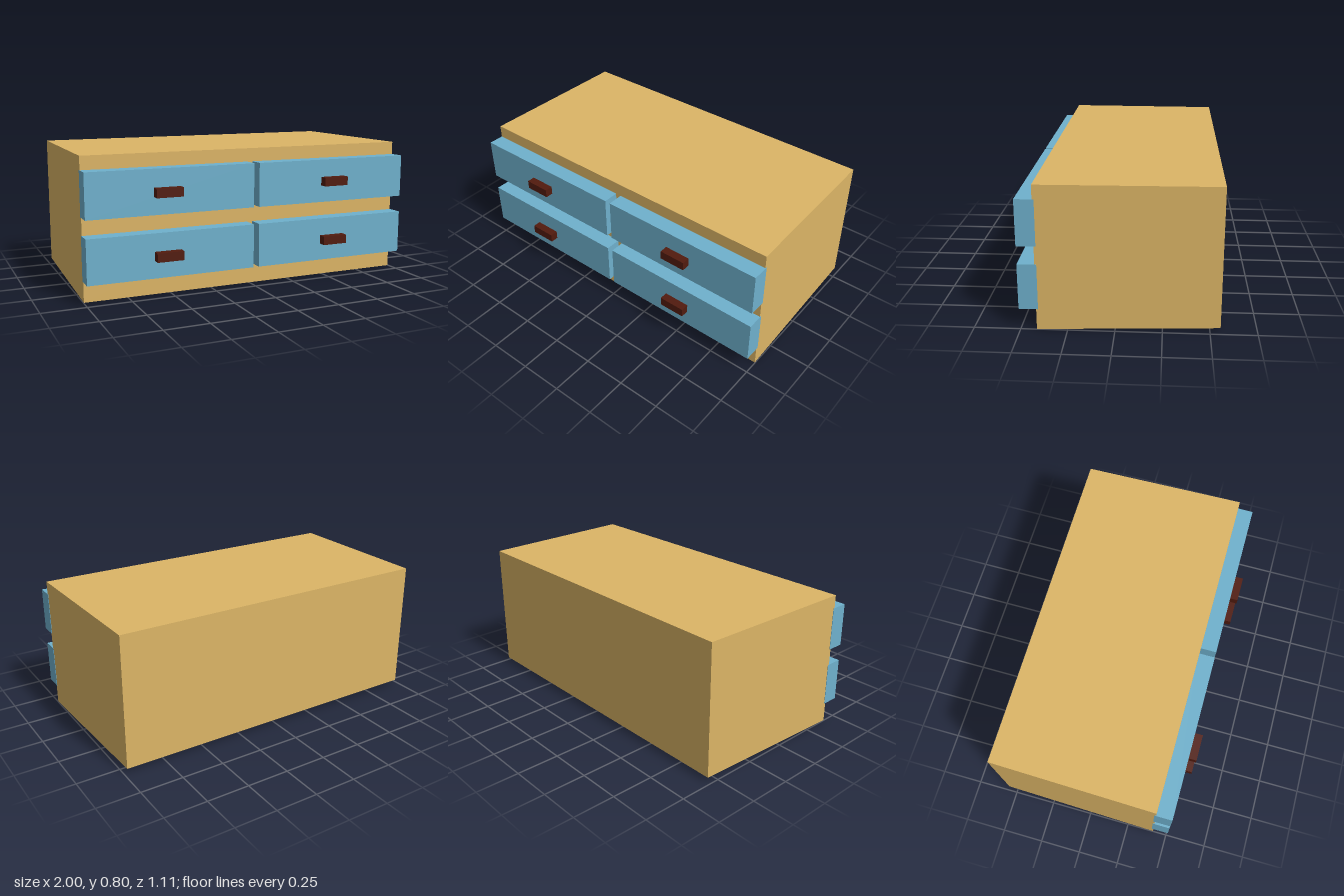
import * as THREE from 'three';

const mat = (color) => new THREE.MeshStandardMaterial({ color, flatShading: true });

// Box given by its limits on each axis
function box(name, [x0, x1], [y0, y1], [z0, z1], material) {
  const geometry = new THREE.BoxGeometry(x1 - x0, y1 - y0, z1 - z0);
  geometry.translate((x0 + x1) / 2, (y0 + y1) / 2, (z0 + z1) / 2);
  const mesh = new THREE.Mesh(geometry, material);
  mesh.name = name;
  return mesh;
}

export function createModel() {
  const model = new THREE.Group();
  model.name = 'drawerCabinet';
  const wood = mat(0xdcb566);
  const blue = mat(0x6fb1cd);
  const dark = mat(0x521b0e);

  // Cabinet body, narrowing slightly to the back with a raised rear bottom edge
  const body = box('cabinetBody', [-0.998, 0.998], [0, 0.802], [-0.555, 0.414], wood);
  const pos = body.geometry.attributes.position;
  for (let i = 0; i < pos.count; i++) {
    if (pos.getZ(i) > 0) continue;
    pos.setX(i, Math.sign(pos.getX(i)) * 0.98);
    if (pos.getY(i) < 0.4) pos.setY(i, 0.026);
  }
  body.geometry.computeVertexNormals();
  model.add(body);

  // Two rows of two drawers, each with a block handle
  const columns = [
    { side: 'right', front: [-1, -0.018], handle: [-0.62, -0.465] },
    { side: 'left', front: [0.016, 1], handle: [0.426, 0.58] },
  ];
  const rows = [{ level: 'lower', y: 0.117 }, { level: 'upper', y: 0.471 }];
  for (const { side, front, handle } of columns) {
    for (const { level, y } of rows) {
      const drawer = new THREE.Group();
      drawer.name = `${level}Drawer_${side}`;
      drawer.add(
        box('drawerFront', front, [y, y + 0.254], [0.404, 0.507], blue),
        box('handle', handle, [y + 0.1, y + 0.151], [0.5, 0.555], dark),
      );
      model.add(drawer);
    }
  }
  return model;
}
